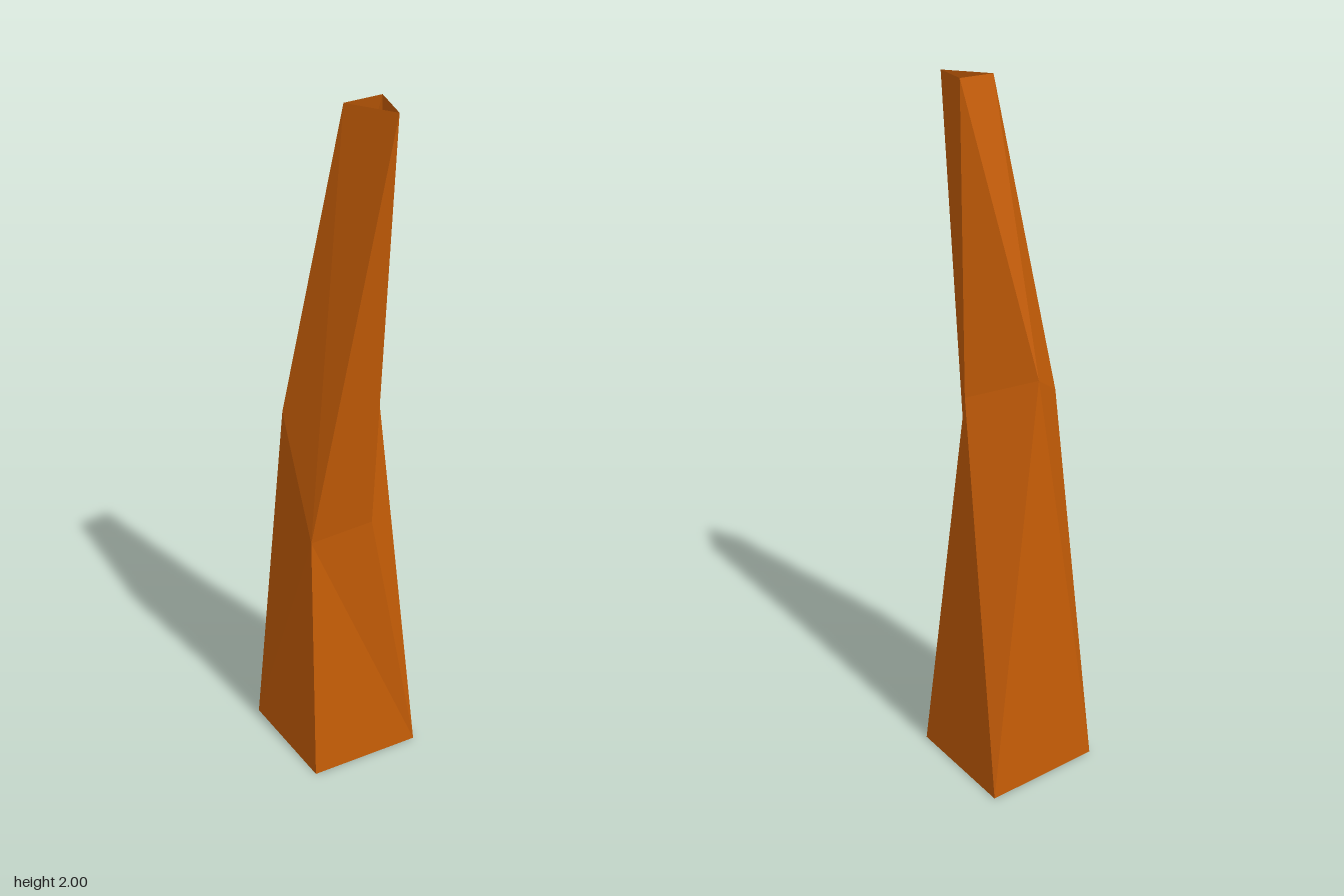
import * as THREE from 'three';

// Rings of corners, each running counter-clockwise seen from above
const base = [[-0.189, 0, -0.207], [-0.236, 0, 0.161], [0.114, 0, 0.204], [0.178, 0, -0.133]];
const waist = [[-0.143, 1.22, 0.013], [-0.075, 1.14, 0.157], [0.055, 0.78, 0.164], [0.123, 0.82, 0], [0.022, 1.16, -0.105]];
const tip = [[0.075, 2, -0.06], [0.079, 2, 0.067], [0.233, 2, 0.024]];

// Joins two rings with triangles: L steps along the lower ring, U along the upper one
function strip(lower, upper, steps) {
  const out = [];
  let l = 0, u = 0;
  for (const step of steps) {
    const a = lower[l % lower.length], b = upper[u % upper.length];
    if (step === 'L') out.push(a, lower[++l % lower.length], b);
    else out.push(a, upper[++u % upper.length], b);
  }
  return out.flat();
}

export function createModel() {
  const group = new THREE.Group();
  group.name = 'trunk';
  const material = new THREE.MeshStandardMaterial({ color: 0xc45c06, flatShading: true, side: THREE.DoubleSide });

  // Bent, faceted shell, open at the foot and the tip
  const parts = [
    ['lowerTrunk', base, waist, 'LUULLUULU'],
    ['upperTrunk', waist, tip, 'ULLULLUL'],
  ];
  for (const [name, lower, upper, steps] of parts) {
    const geometry = new THREE.BufferGeometry();
    geometry.setAttribute('position', new THREE.Float32BufferAttribute(strip(lower, upper, steps), 3));
    geometry.computeVertexNormals();
    const mesh = new THREE.Mesh(geometry, material);
    mesh.name = name;
    group.add(mesh);
  }
  return group;
}
